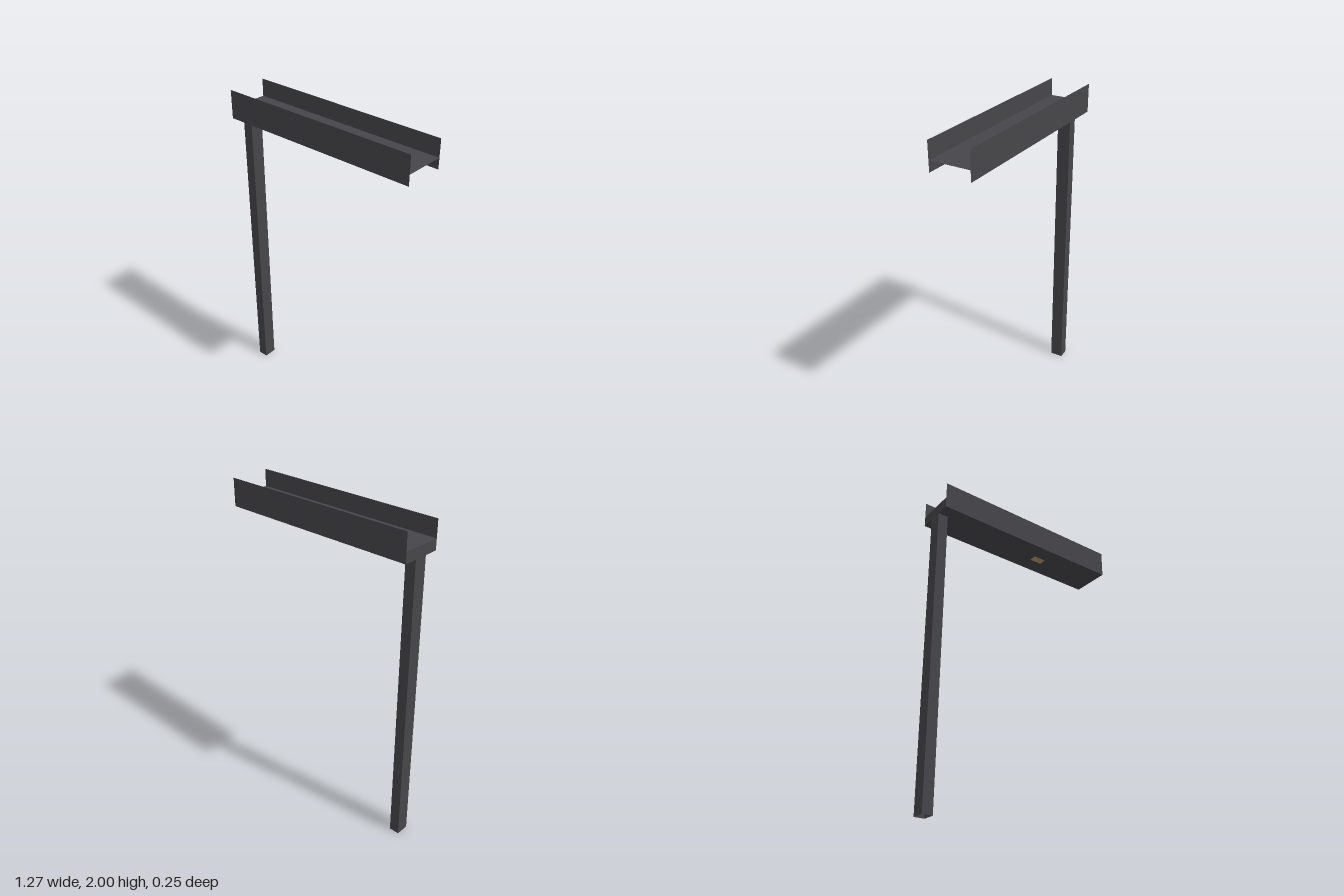
import * as THREE from 'three';

export function createModel() {
  const model = new THREE.Group();
  const metal = new THREE.MeshStandardMaterial({ name: 'dark metal', color: 0x464549 });
  const sheet = new THREE.MeshStandardMaterial({ name: 'dark metal sheet', color: 0x464549, side: THREE.DoubleSide });
  const glow = new THREE.MeshStandardMaterial({ name: 'warm lamp', color: 0xb9966a });

  const halfLength = 0.633, halfWidth = 0.124;
  const bottomY = 1.83, floorY = 1.895, topY = 2;

  // A flat panel, turned and placed
  function panel(name, w, h, material, position, rotation = [0, 0, 0]) {
    const mesh = new THREE.Mesh(new THREE.PlaneGeometry(w, h), material);
    mesh.name = name;
    mesh.position.set(...position);
    mesh.rotation.set(...rotation);
    model.add(mesh);
  }

  // Hollow square post, open at both ends
  const postWidth = 0.064, postDepth = 0.082, postX = -0.6;
  for (const s of [-1, 1]) {
    panel('postFace', postWidth, bottomY, sheet,
      [postX, bottomY / 2, s * postDepth / 2], [0, s > 0 ? 0 : Math.PI, 0]);
    panel('postSide', postDepth, bottomY, sheet,
      [postX + s * postWidth / 2, bottomY / 2, 0], [0, s * Math.PI / 2, 0]);
  }

  // Thin side walls of the channel
  for (const s of [-1, 1]) {
    panel('channelWall', halfLength * 2, topY - bottomY, sheet,
      [0, (topY + bottomY) / 2, s * halfWidth], [0, s > 0 ? 0 : Math.PI, 0]);
  }

  // Raised floor, underside and the closed end above the post
  panel('channelFloor', halfLength * 2, halfWidth * 2, metal, [0, floorY, 0], [-Math.PI / 2, 0, 0]);
  panel('channelUnderside', halfLength * 2, halfWidth * 2, metal, [0, bottomY, 0], [Math.PI / 2, 0, 0]);
  panel('channelEnd', halfWidth * 2, floorY - bottomY, sheet,
    [-halfLength, (floorY + bottomY) / 2, 0], [0, -Math.PI / 2, 0]);

  // Small lamp set in the underside
  panel('lamp', 0.085, 0.05, glow, [0.16, bottomY - 0.002, 0], [Math.PI / 2, 0, 0]);

  return model;
}
